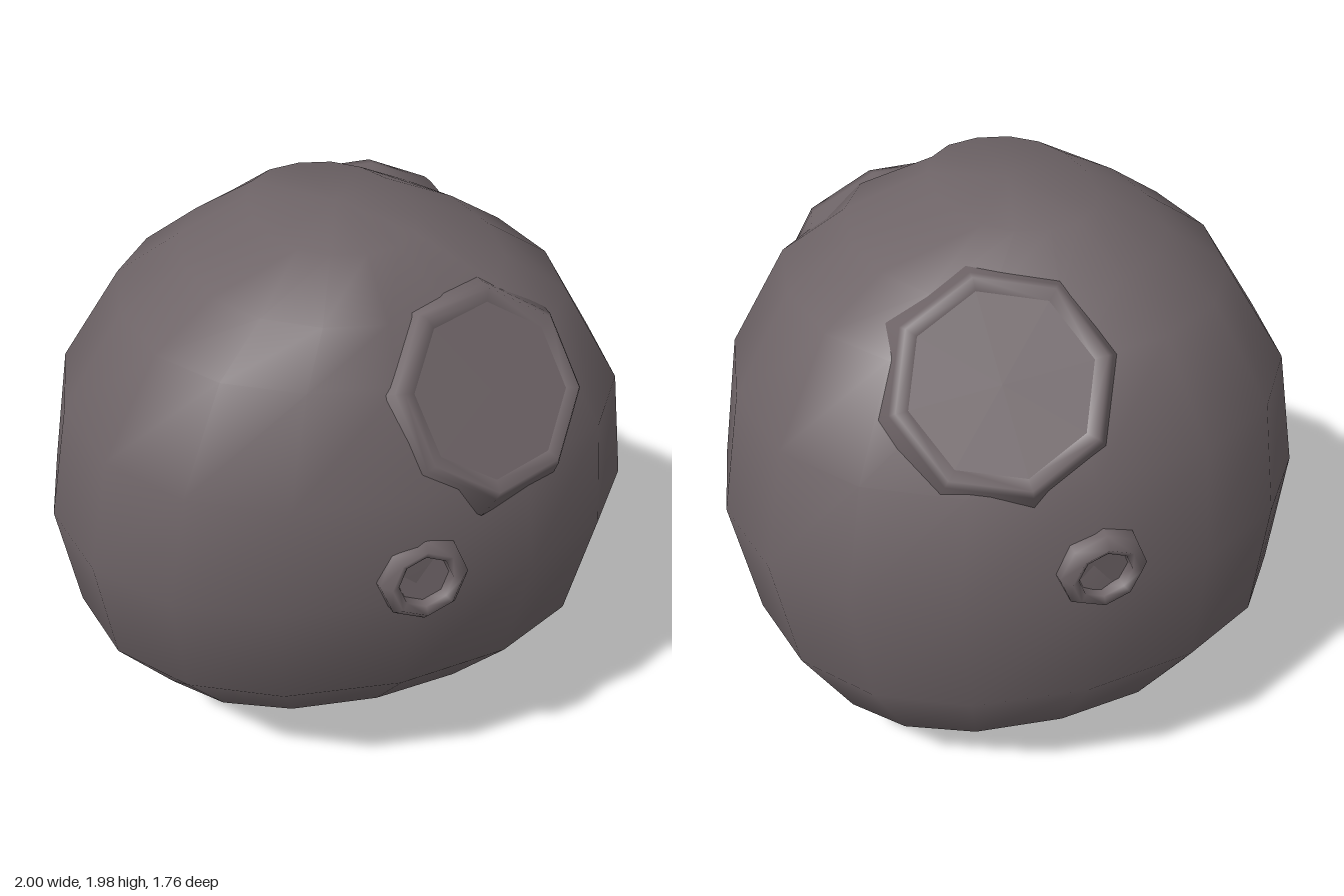
import * as THREE from 'three';

const V = (x, y, z) => new THREE.Vector3(x, y, z);
const UP = V(0, 1, 0);

// Flat craters and small raised rings: position and facing direction
const craters = [
  { name: 'frontCrater', at: V(0.28, 1.58, 0.68), facing: V(0.2, 0.5, 0.82).normalize(), r: 0.31 },
  { name: 'backCrater', at: V(0.22, 1.63, -0.59), facing: V(0.15, 0.6, -0.77).normalize(), r: 0.33 },
];
const rings = [
  { name: 'frontRing', at: V(0.02, 1.04, 0.83), facing: V(0, 0.08, 1).normalize() },
  { name: 'backRing', at: V(-0.03, 1.04, -0.82), facing: V(0, -0.08, -1).normalize() },
];

// Body levels: height, x min, x max, z min, z max
const levels = [
  [0.05, -0.37, 0.43, -0.28, 0.1],
  [0.22, -0.71, 0.73, -0.61, 0.45],
  [0.53, -0.93, 0.92, -0.81, 0.73],
  [0.94, -1, 1, -0.82, 0.82],
  [1.36, -0.93, 0.92, -0.81, 0.87],
  [1.69, -0.73, 0.72, -0.63, 0.75],
  [1.83, -0.52, 0.5, -0.48, 0.62],
  [1.96, -0.29, 0.22, -0.3, 0.42],
];
const SIDES = 16;

// Lumpy closed shell, pressed in beneath each crater
function bodyGeometry() {
  const points = [];
  const swell = (c) => Math.sign(c) * Math.pow(Math.abs(c), 0.9);
  for (const [y, x0, x1, z0, z1] of levels) {
    for (let i = 0; i < SIDES; i++) {
      const a = (i / SIDES) * Math.PI * 2;
      points.push(V(
        (x0 + x1) / 2 + swell(Math.cos(a)) * (x1 - x0) / 2, y,
        (z0 + z1) / 2 + swell(Math.sin(a)) * (z1 - z0) / 2));
    }
  }
  const bottom = points.push(V(0.05, 0, -0.11)) - 1;
  const top = points.push(V(-0.02, 1.98, 0.06)) - 1;

  for (const p of points) {
    for (const { at, facing, r } of craters) {
      const depth = p.clone().sub(at).dot(facing) + 0.03;
      if (depth > 0 && p.distanceTo(at) < r + 0.12) p.addScaledVector(facing, -depth);
    }
  }

  const index = [];
  const last = (levels.length - 1) * SIDES;
  for (let i = 0; i < SIDES; i++) {
    const j = (i + 1) % SIDES;
    for (let k = 0; k < last; k += SIDES) {
      const b0 = k + i, b1 = k + j, t0 = b0 + SIDES, t1 = b1 + SIDES;
      index.push(b0, t0, b1, b1, t0, t1);
    }
    index.push(bottom, i, j, last + i, top, last + j);
  }
  const g = new THREE.BufferGeometry().setFromPoints(points);
  g.setIndex(index);
  g.computeVertexNormals();
  return g;
}

export function createModel() {
  const model = new THREE.Group();
  const stone = new THREE.MeshStandardMaterial({ color: 0x6e6467 });
  stone.name = 'greyStone';

  const add = (parent, name, geometry) => {
    const mesh = new THREE.Mesh(geometry, stone);
    mesh.name = name;
    parent.add(mesh);
  };
  const lathe = (profile) =>
    new THREE.LatheGeometry(profile.map(([r, h]) => new THREE.Vector2(r, h)), 8);
  const floor = (r, h) => new THREE.CircleGeometry(r, 8).rotateX(-Math.PI / 2).translate(0, h, 0);
  const placed = ({ name, at, facing }) => {
    const g = new THREE.Group();
    g.name = name;
    g.position.copy(at);
    g.quaternion.setFromUnitVectors(UP, facing);
    model.add(g);
    return g;
  };

  add(model, 'body', bodyGeometry());

  // Octagonal craters: flat floor with a softly bevelled rim
  for (const c of craters) {
    const g = placed(c);
    add(g, 'craterFloor', floor(c.r - 0.04, 0));
    add(g, 'craterRim', lathe([[c.r + 0.07, -0.1], [c.r + 0.02, -0.01], [c.r, 0.015], [c.r - 0.04, 0]]));
  }

  // Small raised rings around a shallow hole
  for (const r of rings) {
    const g = placed(r);
    add(g, 'ringFloor', floor(0.09, -0.005));
    add(g, 'ringWall', lathe([[0.15, -0.05], [0.145, 0.01], [0.115, 0.045], [0.09, 0.03], [0.085, -0.02]]));
  }
  return model;
}
